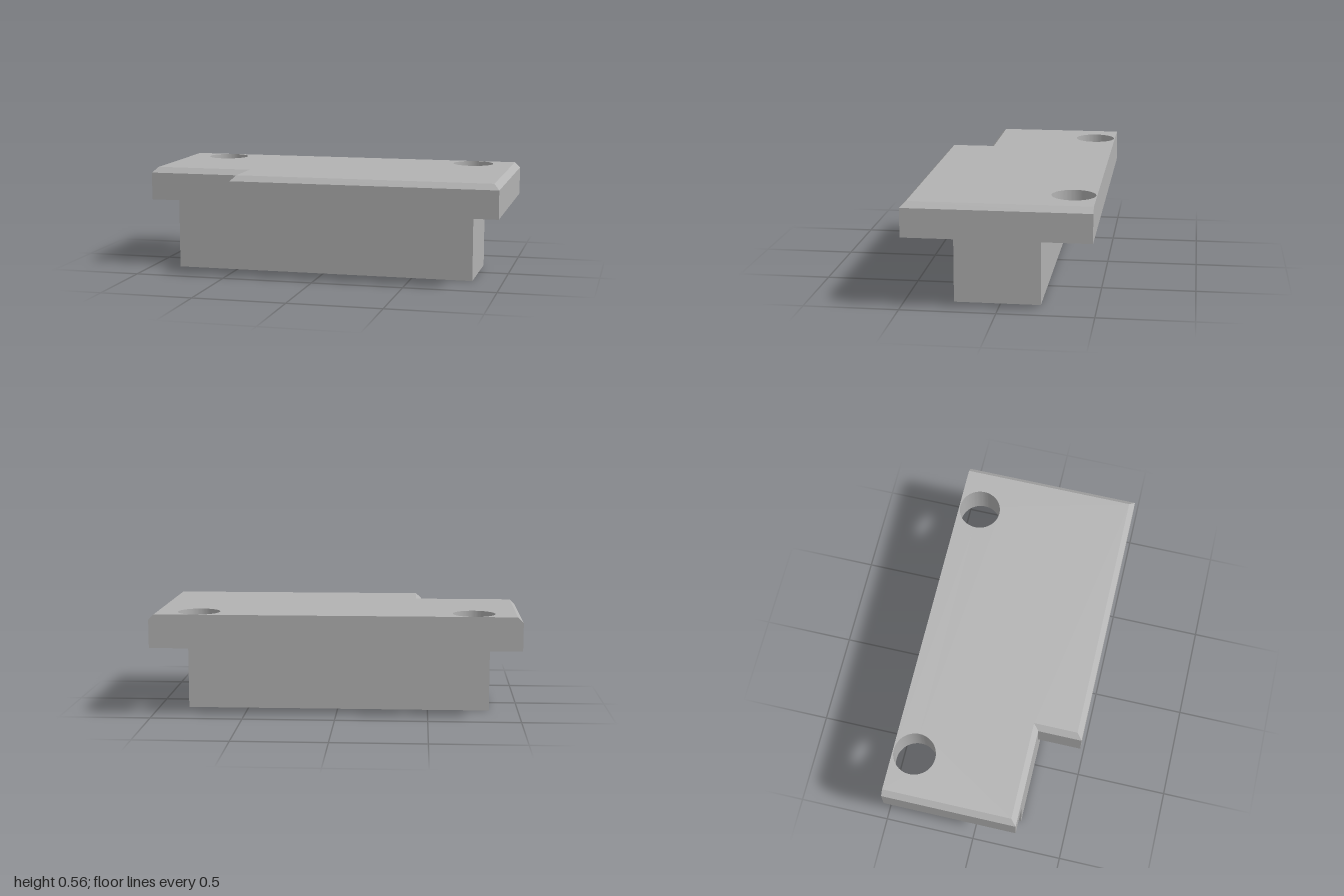
import * as THREE from 'three';
import { toCreasedNormals } from 'three/addons/utils/BufferGeometryUtils.js';

const BOTTOM = 0.382, TOP = 0.565, CHAMFER = 0.03;

// Notched plate with two through holes; every top edge but the back is chamfered
function plateGeometry() {
  const shape = new THREE.Shape([
    [-1, 0.486], [-1, -0.247], [-0.46, -0.247],
    [-0.46, -0.486], [1, -0.486], [1, 0.486],
  ].map(([x, y]) => new THREE.Vector2(x, y)));

  for (const side of [-1, 1]) {
    const hole = new THREE.Path();
    hole.absarc(side * 0.743, 0.367, 0.114, 0, Math.PI * 2, true);
    shape.holes.push(hole);
  }

  const depth = TOP - BOTTOM;
  const geometry = new THREE.ExtrudeGeometry(shape, {
    depth, steps: 2, bevelEnabled: false, curveSegments: 48,
  });

  // Raise the middle ring to the chamfer line and draw in the top outline
  const p = geometry.attributes.position;
  for (let i = 0; i < p.count; i++) {
    const x = p.getX(i), y = p.getY(i), z = p.getZ(i);
    const onOutline = Math.abs(x) > 0.99 || y < 0;
    if (z > depth * 0.75) {
      if (onOutline) p.setXY(i, x - Math.sign(x) * CHAMFER, y < 0 ? y + CHAMFER : y);
    } else if (z > depth * 0.25) {
      p.setZ(i, depth - CHAMFER);
    }
  }
  geometry.rotateX(-Math.PI / 2);
  geometry.translate(0, BOTTOM, 0);
  return toCreasedNormals(geometry, 0.5);
}

export function createModel() {
  const group = new THREE.Group();
  group.name = 'notchedMountingBlock';
  const grey = new THREE.MeshStandardMaterial({ color: 0xb3b3b3 });
  grey.name = 'plain grey';

  const plate = new THREE.Mesh(plateGeometry(), grey);
  plate.name = 'topPlate';

  // Solid block under the plate
  const block = new THREE.Mesh(new THREE.BoxGeometry(1.674, BOTTOM, 0.453), grey);
  block.name = 'lowerBlock';
  block.position.set(-0.003, BOTTOM / 2, 0.0165);

  group.add(plate, block);
  return group;
}
